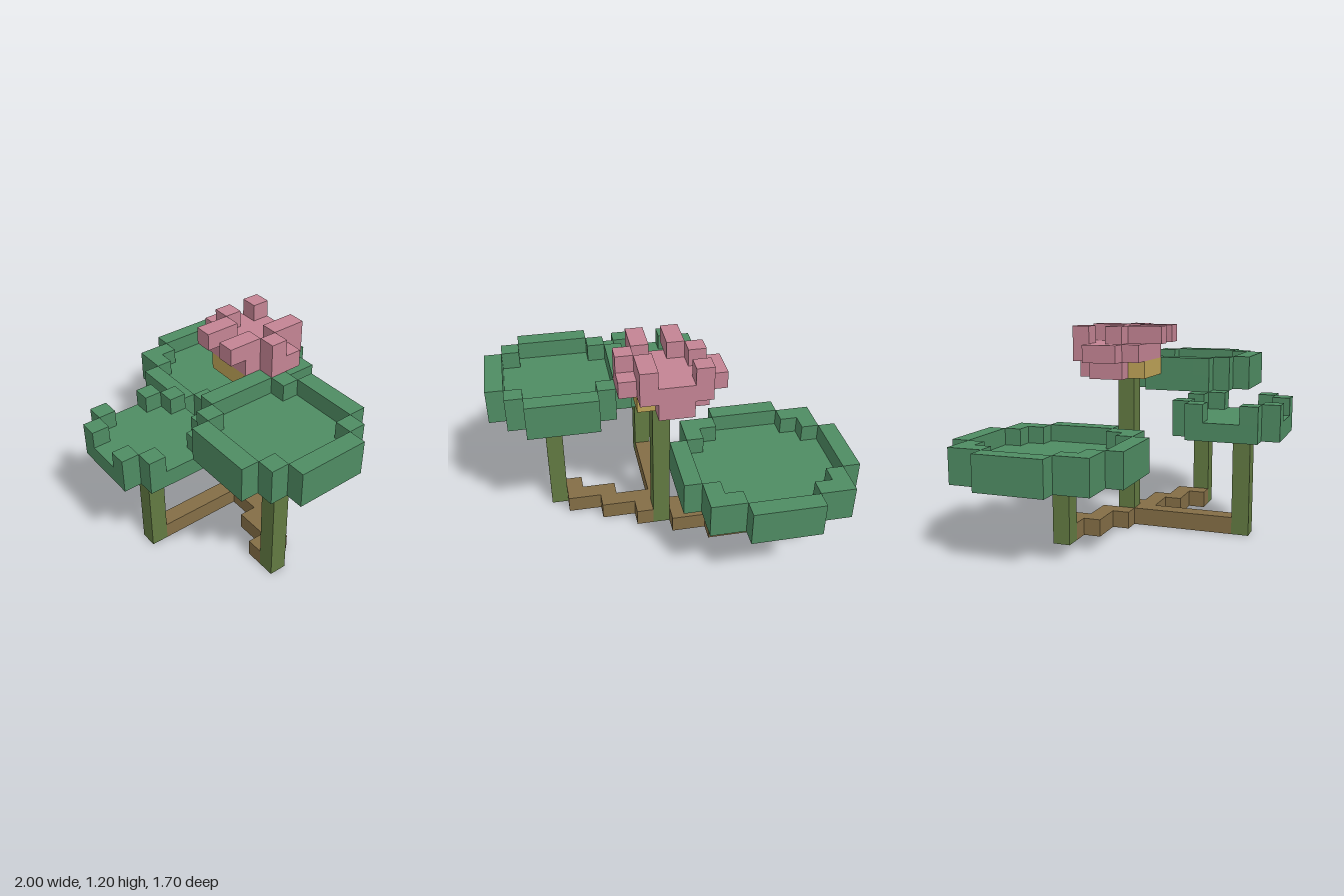
import * as THREE from 'three';
import { mergeGeometries } from 'three/addons/utils/BufferGeometryUtils.js';

const U = 0.1; // size of one block
const mat = (name, color) => {
  const m = new THREE.MeshStandardMaterial({ color });
  m.name = name;
  return m;
};

// Block mesh made of the exposed faces of a list of [i, j, k] cells
function blocks(name, cells, material) {
  const has = new Set(cells.map(String));
  const faces = [];
  for (const [i, j, k] of cells) {
    for (const axis of [0, 1, 2]) for (const s of [-1, 1]) {
      const d = [0, 0, 0];
      d[axis] = s;
      if (has.has(String([i + d[0], j + d[1], k + d[2]]))) continue;
      const g = new THREE.PlaneGeometry(U, U).translate(0, 0, U / 2);
      if (axis === 0) g.rotateY(s * Math.PI / 2);
      else if (axis === 1) g.rotateX(-s * Math.PI / 2);
      else if (s < 0) g.rotateY(Math.PI);
      faces.push(g.translate((i + 0.5) * U, (j + 0.5) * U, k * U));
    }
  }
  const mesh = new THREE.Mesh(mergeGeometries(faces), material);
  mesh.name = name;
  return mesh;
}

// Round leaf pad: flat floor plus a raised rim; half-widths are listed row by row
function padCells(cx, j, k0, halfWidths, keepRim = () => true) {
  const inside = (i, k) => {
    const h = halfWidths[k - k0] ?? 0;
    return i >= cx - h && i < cx + h;
  };
  const cells = [];
  halfWidths.forEach((h, r) => {
    const k = k0 + r;
    for (let i = cx - h; i < cx + h; i++) {
      cells.push([i, j, k]);
      const edge = !(inside(i - 1, k) && inside(i + 1, k) && inside(i, k - 1) && inside(i, k + 1));
      if (edge && keepRim(i, k)) cells.push([i, j + 1, k]);
    }
  });
  return cells;
}

export function createModel() {
  const green = mat('leaf green', 0x4f8c63);
  const olive = mat('stem olive', 0x627a42);
  const brown = mat('root brown', 0x846e46);
  const pink = mat('petal pink', 0xc48494);
  const yellow = mat('flower yellow', 0xbfa457);
  const model = new THREE.Group();
  model.name = 'waterLilies';

  // Leaf pads
  model.add(blocks('largePad', padCells(-5, 4, -8, [2, 4, 4, 5, 5, 5, 5, 4, 4, 2]), green));
  model.add(blocks('highPad', padCells(6, 8, -2, [2, 3, 4, 4, 4, 4, 3, 2]), green));
  const corners = (i, k) => Math.abs(i + 0.5) > 1 && Math.abs(k - 5.5) > 1;
  model.add(blocks('smallPad', padCells(0, 6, 3, [2, 3, 3, 3, 3, 2], corners), green));

  // Stems: column, row, height in blocks
  const stems = { largePadStem: [-5, -3, 4], highPadStem: [6, 2, 8], smallPadStem: [0, 6, 6], flowerStem: [0, -1, 9] };
  for (const [name, [i, k, h]] of Object.entries(stems)) {
    model.add(blocks(name, Array.from({ length: h }, (_, j) => [i, j, k]), olive));
  }

  // Roots along the ground, as runs: row, first column, last column
  const run = (k, a, b) => Array.from({ length: b - a + 1 }, (_, n) => [a + n, 0, k]);
  model.add(blocks('frontRoot', [0, 1, 2, 3, 4, 5].map((k) => [0, 0, k]), brown));
  model.add(blocks('leftRoot', [...run(-1, 1, 1), ...run(0, 1, 3), ...run(1, 3, 5), ...run(2, 5, 5)], brown));
  model.add(blocks('rightRoot', [...run(-1, -1, -1), ...run(-2, -3, -1), ...run(-3, -4, -3)], brown));

  // Flower heart
  const heart = [];
  for (let i = -1; i <= 1; i++) for (let k = -2; k <= 0; k++) heart.push([i, 9, k]);
  model.add(blocks('flowerHeart', heart, yellow));

  // Petals, layer by layer as [column, row]
  const layers = {
    9: [[-2, -2], [-2, -1], [-1, -3], [0, -3]],
    10: [[-3, -2], [-3, -1], [2, -2], [2, -1], [-2, -3], [-1, -3], [0, -3], [1, -3]],
    11: [[-1, 1], [1, 1], [-1, 0], [1, 0], [-2, -1], [2, -1], [-2, -3], [1, -3], [1, -2]],
  };
  for (let i = -2; i <= 1; i++) for (let k = -2; k <= 0; k++) layers[10].push([i, k]);
  const petals = Object.entries(layers).flatMap(([j, list]) => list.map(([i, k]) => [i, Number(j), k]));
  model.add(blocks('petals', petals, pink));

  return model;
}
